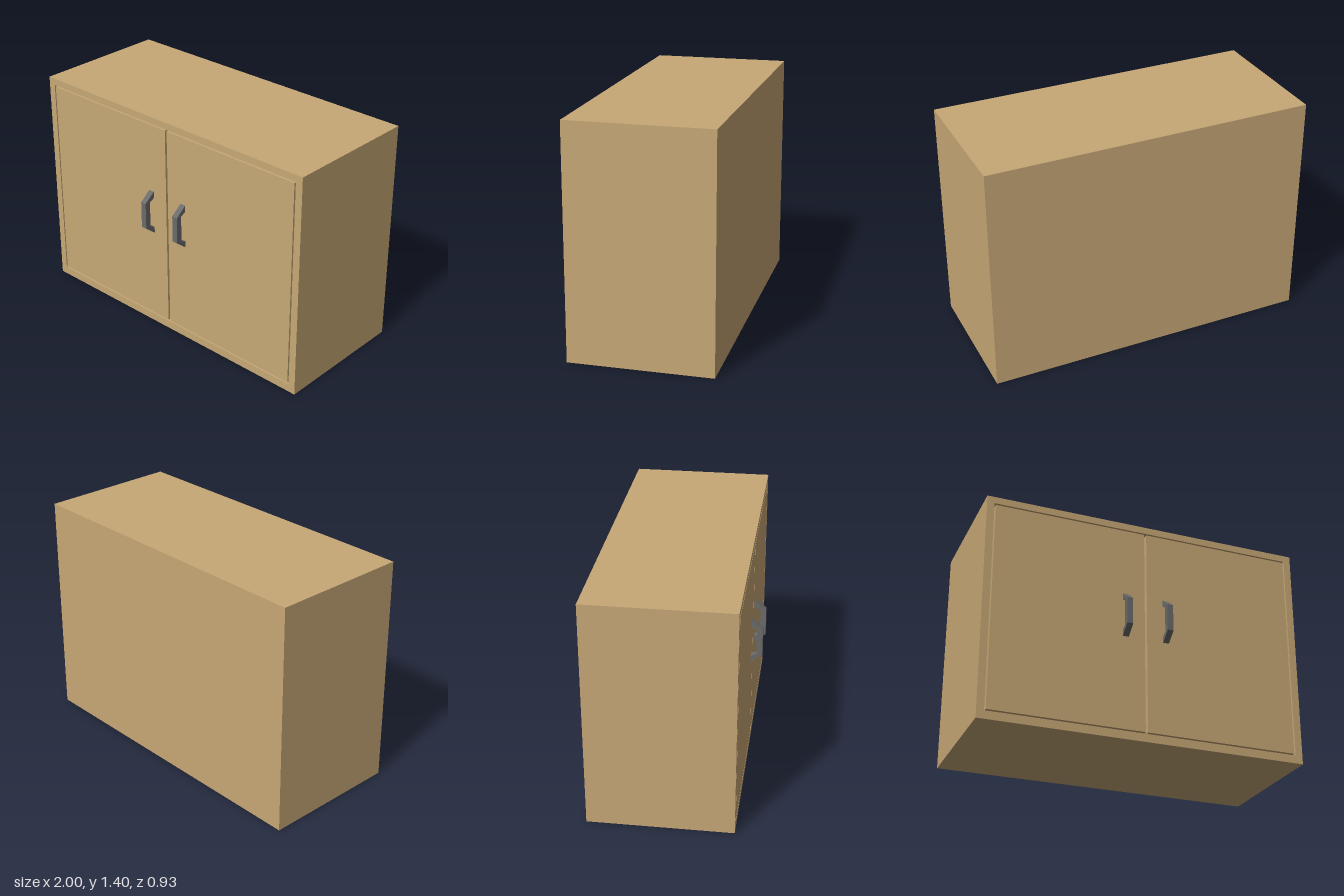
import * as THREE from 'three';

const W = 2, H = 1.405, BACK = -0.465, FRONT = 0.395;
const OPEN = { x: 0.955, y0: 0.05, y1: 1.362 };
const GAP = 0.009, WALL = 0.04;

// Box without its front (+z) face
function openBox(w, h, d) {
  const geo = new THREE.BoxGeometry(w, h, d);
  geo.setIndex(Array.from(geo.index.array).filter((_, i) => i < 24 || i >= 30));
  geo.clearGroups();
  return geo;
}

function rectangle(Type, x0, y0, x1, y1) {
  return new Type([[x0, y0], [x1, y0], [x1, y1], [x0, y1]].map(p => new THREE.Vector2(...p)));
}

export function createModel() {
  const group = new THREE.Group();
  const wood = new THREE.MeshStandardMaterial({ color: 0xc8a876 });
  const woodInside = new THREE.MeshStandardMaterial({ color: 0xc8a876, side: THREE.DoubleSide });
  const metal = new THREE.MeshStandardMaterial({ color: 0x6b6b6b });

  function add(name, geo, mat, x, y, z) {
    const mesh = new THREE.Mesh(geo, mat);
    mesh.name = name;
    mesh.position.set(x, y, z);
    group.add(mesh);
  }

  // Cabinet: outer shell, front rim and hollow inside
  const openH = OPEN.y1 - OPEN.y0, openMid = (OPEN.y0 + OPEN.y1) / 2;
  const depth = FRONT - BACK, inner = depth - WALL;
  add('cabinetShell', openBox(W, H, depth), wood, 0, H / 2, (FRONT + BACK) / 2);
  const rim = rectangle(THREE.Shape, -W / 2, 0, W / 2, H);
  rim.holes.push(rectangle(THREE.Path, -OPEN.x, OPEN.y0, OPEN.x, OPEN.y1));
  add('frontFrame', new THREE.ShapeGeometry(rim), wood, 0, 0, FRONT);
  add('cabinetInterior', openBox(OPEN.x * 2, openH, inner), woodInside, 0, openMid, FRONT - inner / 2);

  // Handle profile, drawn as (z, y) and extruded across x
  const profile = new THREE.Shape([
    [FRONT, 0.642], [0.465, 0.698], [0.465, 0.866], [FRONT, 0.922],
    [FRONT, 0.88], [0.429, 0.864], [0.429, 0.698], [FRONT, 0.683],
  ].map(p => new THREE.Vector2(...p)));
  const handleW = 0.037;
  const handle = new THREE.ExtrudeGeometry(profile, { depth: handleW, bevelEnabled: false });
  handle.translate(0, 0, -handleW / 2).rotateY(-Math.PI / 2);

  // Two flush doors with a narrow gap all round, one handle each
  const doorIn = 0.007, doorOut = OPEN.x - GAP;
  const doorGeo = new THREE.BoxGeometry(doorOut - doorIn, openH - 2 * GAP, WALL);
  for (const [side, s] of [['left', 1], ['right', -1]]) {
    add(side + 'Door', doorGeo, wood, s * (doorIn + doorOut) / 2, openMid, FRONT - WALL / 2);
    add(side + 'Handle', handle, metal, s * 0.128, 0, 0);
  }
  return group;
}
